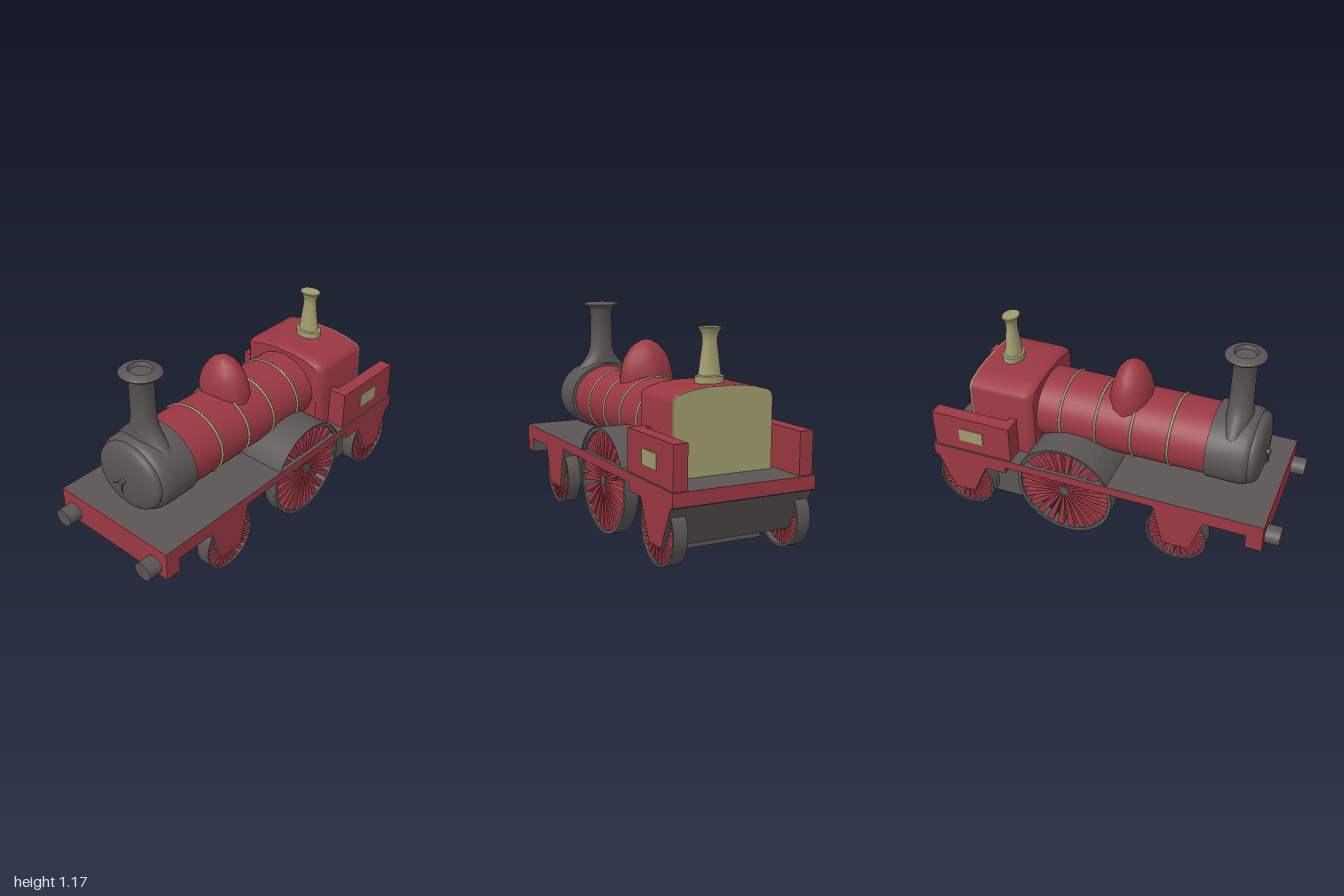
import * as THREE from 'three';
import { mergeGeometries, toCreasedNormals } from 'three/addons/utils/BufferGeometryUtils.js';

const mat = (name, color, side = THREE.FrontSide) => {
  const m = new THREE.MeshStandardMaterial({ color, side });
  m.name = name;
  return m;
};

export function createModel() {
  const red = mat('crimson paint', 0x9a3842);
  const dark = mat('dark grey iron', 0x5b5555, THREE.DoubleSide);
  const brass = mat('dull brass', 0xa09c6e);
  const root = new THREE.Group();
  root.name = 'steamLocomotive';

  const add = (name, geo, material, x = 0, y = 0, z = 0, parent = root) => {
    const m = new THREE.Mesh(geo, material);
    m.name = name;
    m.position.set(x, y, z);
    parent.add(m);
    return m;
  };
  const box = (name, material, x0, x1, y0, y1, z0, z1) =>
    add(name, new THREE.BoxGeometry(x1 - x0, y1 - y0, z1 - z0), material, (x0 + x1) / 2, (y0 + y1) / 2, (z0 + z1) / 2);
  const lathe = (pts, seg = 32, crease = 0.6) =>
    toCreasedNormals(new THREE.LatheGeometry(pts.map(p => new THREE.Vector2(...p)), seg), crease);
  const polygon = pts => new THREE.Shape(pts.map(p => new THREE.Vector2(...p)));
  const reshape = (geo, rule) => {
    const p = geo.attributes.position, v = new THREE.Vector3();
    for (let i = 0; i < p.count; i++) {
      rule(v.fromBufferAttribute(p, i));
      p.setXYZ(i, v.x, v.y, v.z);
    }
    geo.computeVertexNormals();
    return geo;
  };

  // Frame: side profile (z, y) run across the full width, red ends and dark faces between
  const profile = polygon([
    [0.915, 0.4], [-0.995, 0.4], [-0.995, 0.33], [-0.975, 0.32], [-0.885, 0.115], [-0.765, 0.115],
    [-0.675, 0.31], [-0.55, 0.31], [-0.55, 0.35], [0.32, 0.35], [0.38, 0.115], [0.53, 0.115],
    [0.6, 0.32], [0.83, 0.32], [0.83, 0.24], [0.915, 0.24],
  ]);
  const frameGeo = new THREE.ExtrudeGeometry(profile, { depth: 0.774, bevelEnabled: false });
  frameGeo.rotateY(-Math.PI / 2).translate(0.387, 0, 0);
  add('frame', frameGeo, [red, dark]);
  box('frontBeam', red, -0.388, 0.388, 0.24, 0.4, 0.914, 0.921);
  box('rearBeam', red, -0.388, 0.388, 0.33, 0.4, -1, -0.994);
  box('ashpan', dark, -0.253, 0.253, 0.04, 0.36, -0.74, -0.41);

  // Splasher: open arch over the driving wheels
  const arc = Math.acos(0.12 / 0.282);
  const arch = new THREE.CylinderGeometry(0.282, 0.282, 0.772, 24, 1, true, -arc, 2 * arc);
  arch.rotateZ(Math.PI / 2).rotateX(Math.PI / 2);
  // turn the arch so that it is centred straight above the axle
  arch.computeBoundingBox();
  const bb = arch.boundingBox;
  if (bb.max.y < 0.28) arch.rotateX(bb.max.z > 0.28 ? -Math.PI / 2 : bb.min.z < -0.28 ? Math.PI / 2 : Math.PI);
  add('splasher', arch, dark, 0, 0.28, -0.2);

  // Wheels: dark tyre and hub, wedge spokes
  const wheel = (name, r, y, z, side) => {
    const g = new THREE.Group();
    g.name = name;
    g.position.set(side * 0.3375, y, z);
    const ring = new THREE.Shape().absarc(0, 0, r, 0, Math.PI * 2, false);
    ring.holes.push(new THREE.Path().absarc(0, 0, r * 0.93, 0, Math.PI * 2, true));
    const tyre = new THREE.ExtrudeGeometry(ring, { depth: 0.075, bevelEnabled: false, curveSegments: 40 });
    add('tyre', toCreasedNormals(tyre.translate(0, 0, -0.0375).rotateY(Math.PI / 2), 0.6), dark, 0, 0, 0, g);
    const spokes = [];
    for (let i = 0; i < 24; i++) {
      const w0 = r * 0.012, w1 = r * 0.07;
      const s = new THREE.ExtrudeGeometry(
        polygon([[r * 0.08, -w0], [r * 0.94, -w1], [r * 0.94, w1], [r * 0.08, w0]]),
        { depth: 0.04, bevelEnabled: false });
      spokes.push(s.translate(0, 0, -0.02).rotateZ((i + 0.5) * Math.PI / 12).rotateY(Math.PI / 2));
    }
    add('spokes', mergeGeometries(spokes), red, side * 0.008, 0, 0, g);
    add('hub', new THREE.CylinderGeometry(r * 0.11, r * 0.11, 0.07, 16).rotateZ(Math.PI / 2), dark, 0, 0, 0, g);
    root.add(g);
  };
  for (const side of [-1, 1]) {
    wheel('frontWheel', 0.17, 0.18, 0.45, side);
    wheel('drivingWheel', 0.28, 0.28, -0.2, side);
    wheel('rearWheel', 0.17, 0.18, -0.815, side);

    // Buffers
    const buffer = new THREE.CylinderGeometry(0.047, 0.047, 0.085, 24).rotateX(Math.PI / 2).scale(1.17, 1, 1);
    add('buffer', buffer, dark, side * 0.3, 0.294, 0.9575);

    // Cab side walls with a return to the firebox and a brass plate
    const span = (a, b) => side > 0 ? [a, b] : [-b, -a];
    box('cabSide', red, ...span(0.303, 0.378), 0.4, 0.617, -0.985, -0.515);
    box('cabFront', red, ...span(0.26, 0.31), 0.4, 0.617, -0.56, -0.515);
    box('sidePlate', brass, ...span(0.377, 0.382), 0.465, 0.545, -0.825, -0.68);
  }

  // Boiler with brass bands
  const boiler = new THREE.CylinderGeometry(0.19, 0.19, 0.98, 48).rotateX(Math.PI / 2).scale(1.15, 1, 1);
  add('boiler', boiler, red, 0, 0.598, 0.06);
  for (const z of [0.335, 0.125, -0.08, -0.285]) {
    add('boilerBand', new THREE.TorusGeometry(0.191, 0.007, 6, 48).scale(1.15, 1, 1), brass, 0, 0.598, z);
  }

  // Smokebox with rounded door
  const smokebox = lathe([
    [0, 0.54], [0.2, 0.54], [0.201, 0.7], [0.199, 0.735], [0.193, 0.757], [0.183, 0.766],
    [0.183, 0.775], [0.178, 0.79], [0.165, 0.802], [0.13, 0.812], [0.07, 0.818], [0, 0.82],
  ], 48).rotateX(Math.PI / 2).scale(1.19, 1, 1);
  add('smokebox', smokebox, dark, 0, 0.602, 0);

  // Door handle
  add('doorBoss', new THREE.CylinderGeometry(0.016, 0.016, 0.026, 12).rotateX(Math.PI / 2), dark, -0.006, 0.587, 0.828);
  for (const [x, y] of [[-0.06, -0.03], [0.002, -0.068]]) {
    const path = new THREE.LineCurve3(new THREE.Vector3(), new THREE.Vector3(x, y, 0));
    add('doorHandle', new THREE.TubeGeometry(path, 1, 0.004, 6), dark, -0.006, 0.587, 0.833);
  }

  // Chimney, flared sideways onto the smokebox
  const chimney = lathe([
    [0.07, 0.74], [0.07, 0.79], [0.068, 0.82], [0.066, 0.85], [0.065, 0.89], [0.063, 0.95], [0.063, 1.12],
    [0.07, 1.132], [0.1, 1.142], [0.108, 1.152], [0.1, 1.16], [0.062, 1.17], [0.054, 1.15], [0, 1.145],
  ], 32, 0.9);
  reshape(chimney, v => { v.x *= 1.05 + 0.85 * Math.max(0, (0.92 - v.y) / 0.13) ** 2 * (v.y > 0.78 ? 1 : 0.95); });
  add('chimney', toCreasedNormals(chimney, 0.9), dark, -0.004, 0, 0.66);

  // Steam dome
  const dome = lathe([
    [0.112, 0.7], [0.114, 0.79], [0.108, 0.83], [0.098, 0.875], [0.078, 0.92], [0.05, 0.958], [0.02, 0.98], [0, 0.984],
  ], 12, 0.7).scale(1.38, 1, 1);
  add('steamDome', dome, red, -0.014, 0, 0.064);

  // Firebox: arched section with a softened front edge, brass plate behind
  const half = [[0.275, 0.4], [0.275, 0.76], [0.268, 0.78], [0.248, 0.797], [0.17, 0.818], [0.08, 0.828]];
  const section = polygon([...half, ...half.map(([x, y]) => [-x, y]).reverse()]);
  const firebox = new THREE.ExtrudeGeometry(section, { depth: 0.36, steps: 18, bevelEnabled: false });
  firebox.translate(0, 0, -0.78);
  reshape(firebox, v => {
    const t = Math.min(1, Math.max(0, (v.z + 0.48) / 0.06));
    const k = 1 - Math.sqrt(1 - t * t);
    v.x *= 1 - 0.1 * k;
    v.y = 0.4 + (v.y - 0.4) * (1 - 0.04 * k);
  });
  add('firebox', toCreasedNormals(firebox, 0.75), red);
  const back = new THREE.ExtrudeGeometry(section, { depth: 0.009, bevelEnabled: false });
  add('fireboxBackplate', back, brass, 0, 0, -0.789);

  // Safety valve
  const valve = lathe([
    [0.058, 0.8], [0.058, 0.862], [0.046, 0.866], [0.043, 0.89], [0.03, 1.02], [0.03, 1.05],
    [0.036, 1.075], [0.047, 1.095], [0.045, 1.1], [0, 1.1],
  ], 24).scale(1.32, 1, 1);
  add('safetyValve', valve, brass, 0, 0, -0.65);

  return root;
}
